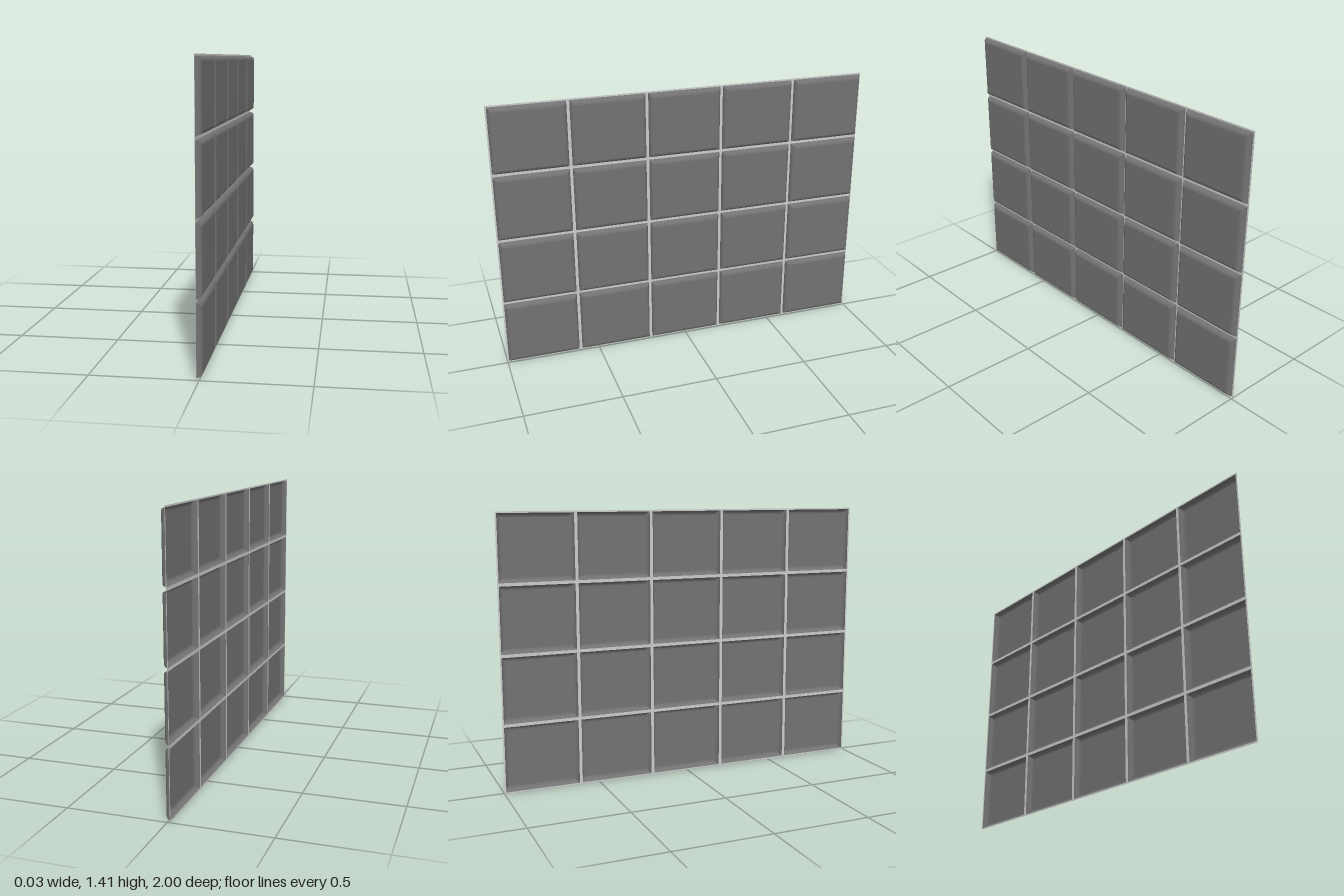
import * as THREE from 'three';

const COLS = 5, ROWS = 4;
const PITCH_Z = 0.4, PITCH_Y = 0.353;
const GAP = 0.016, DEPTH = 0.026, INSET = 0.022, STEPS = 5;
const TILE_Z = PITCH_Z - GAP, TILE_Y = PITCH_Y - GAP;

// Open-backed pillow tile: rounded, mitred rim around a flat face towards +x.
function tileGeometry(width, height) {
  const pos = [], index = [];
  const corners = [[-1, -1], [1, -1], [1, 1], [-1, 1]];
  const point = ([u, v], i) => {
    const t = (i / STEPS) * Math.PI / 2;
    const inset = INSET * (1 - Math.cos(t));
    pos.push(
      DEPTH * (Math.sin(t) - 0.5),
      v * (height / 2 - inset),
      -u * (width / 2 - inset)
    );
  };
  // Four rim sides, each with its own vertices so the mitres stay sharp
  corners.forEach((a, k) => {
    const b = corners[(k + 1) % 4];
    const base = pos.length / 3;
    for (let i = 0; i <= STEPS; i++) {
      point(a, i);
      point(b, i);
      if (i < STEPS) {
        const p = base + 2 * i;
        index.push(p, p + 1, p + 3, p, p + 3, p + 2);
      }
    }
  });
  // Flat face
  const f = pos.length / 3;
  corners.forEach((c) => point(c, STEPS));
  index.push(f, f + 1, f + 2, f, f + 2, f + 3);

  const geometry = new THREE.BufferGeometry();
  geometry.setAttribute('position', new THREE.Float32BufferAttribute(pos, 3));
  geometry.setIndex(index);
  geometry.computeVertexNormals();
  return geometry;
}

// Rectangle outline centred on (x, y)
function rectangle(path, x, y, w, h) {
  path.moveTo(x - w / 2, y - h / 2);
  path.lineTo(x + w / 2, y - h / 2);
  path.lineTo(x + w / 2, y + h / 2);
  path.lineTo(x - w / 2, y + h / 2);
  path.closePath();
  return path;
}

export function createModel() {
  const group = new THREE.Group();
  group.name = 'tiledWall';
  const tileMaterial = new THREE.MeshStandardMaterial({ color: 0x727272, side: THREE.DoubleSide });
  const groutMaterial = new THREE.MeshStandardMaterial({ color: 0xcccccc, side: THREE.DoubleSide });

  // Grid of tiles, and the grout outline with one opening behind each tile
  const geometry = tileGeometry(TILE_Z, TILE_Y);
  const tiles = new THREE.Group();
  tiles.name = 'tiles';
  const groutShape = rectangle(new THREE.Shape(), 0, ROWS * PITCH_Y / 2, COLS * PITCH_Z, ROWS * PITCH_Y);
  for (let r = 0; r < ROWS; r++) {
    for (let c = 0; c < COLS; c++) {
      const y = (r + 0.5) * PITCH_Y, z = (c - (COLS - 1) / 2) * PITCH_Z;
      const tile = new THREE.Mesh(geometry, tileMaterial);
      tile.name = `tile_${r + 1}_${c + 1}`;
      tile.position.set(0, y, z);
      tiles.add(tile);
      groutShape.holes.push(rectangle(new THREE.Path(), -z, y, TILE_Z, TILE_Y));
    }
  }
  group.add(tiles);

  // Flat grout lattice joining the back rims of the tiles
  const grout = new THREE.Mesh(new THREE.ShapeGeometry(groutShape), groutMaterial);
  grout.name = 'grout';
  grout.rotation.y = Math.PI / 2;
  grout.position.x = -DEPTH / 2;
  group.add(grout);

  return group;
}
